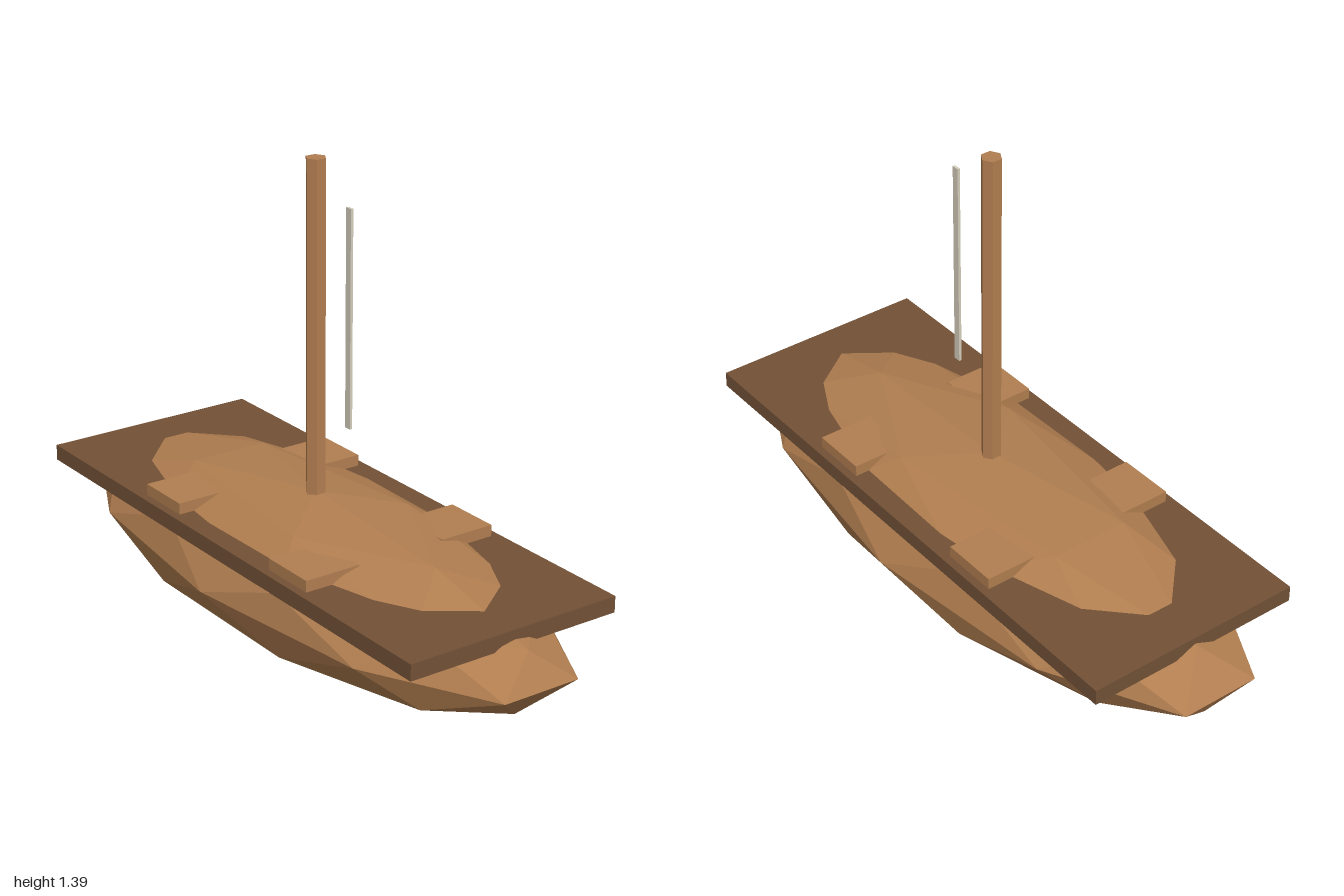
import * as THREE from 'three';
import { ConvexGeometry } from 'three/addons/geometries/ConvexGeometry.js';

const material = (name, color) => {
  const m = new THREE.MeshStandardMaterial({ color, flatShading: true });
  m.name = name;
  return m;
};

export function createModel() {
  const group = new THREE.Group();
  const wood = material('light wood', 0xb17e50);
  const darkWood = material('dark wood', 0x735236);
  const canvas = material('canvas', 0xd6cfbd);

  const add = (name, geometry, mat, x, y, z) => {
    const mesh = new THREE.Mesh(geometry, mat);
    mesh.name = name;
    mesh.position.set(x, y, z);
    group.add(mesh);
    return mesh;
  };

  // Hull: a stretched low-poly sphere made from rings [height, sides, start angle]
  const rings = [
    [0.8507, 5, 0], [0.5257, 5, 36], [0.4472, 5, 0],
    [0, 10, 18],
    [-0.4472, 5, 36], [-0.5257, 5, 0], [-0.8507, 5, 36],
  ];
  const points = [new THREE.Vector3(0, 1, 0), new THREE.Vector3(0, -1, 0)];
  for (const [y, sides, start] of rings) {
    const r = Math.sqrt(1 - y * y);
    for (let i = 0; i < sides; i++) {
      const a = THREE.MathUtils.degToRad(start + (i * 360) / sides);
      points.push(new THREE.Vector3(r * Math.cos(a), y, r * Math.sin(a)));
    }
  }
  const hull = new ConvexGeometry(points);
  hull.scale(1.0515, 0.21, 0.394);
  hull.computeVertexNormals();
  add('hull', hull, wood, 0, 0.21, 0);

  // Deck plank, pierced by the domed top of the hull
  add('deck', new THREE.BoxGeometry(1.78, 0.048, 0.68), darkWood, 0, 0.319, 0);

  // Four benches along the deck edges
  for (const sx of [-1, 1]) {
    for (const sz of [-1, 1]) {
      add('bench', new THREE.BoxGeometry(0.175, 0.036, 0.175), wood, sx * 0.314, 0.359, sz * 0.228);
    }
  }

  // Six-sided mast
  add('mast', new THREE.CylinderGeometry(0.03, 0.03, 1.045, 6), wood, 0, 0.8725, 0);

  // Narrow sail strip beside the mast
  add('sail', new THREE.BoxGeometry(0.022, 0.63, 0.008), canvas, 0.156, 0.975, 0);

  return group;
}
